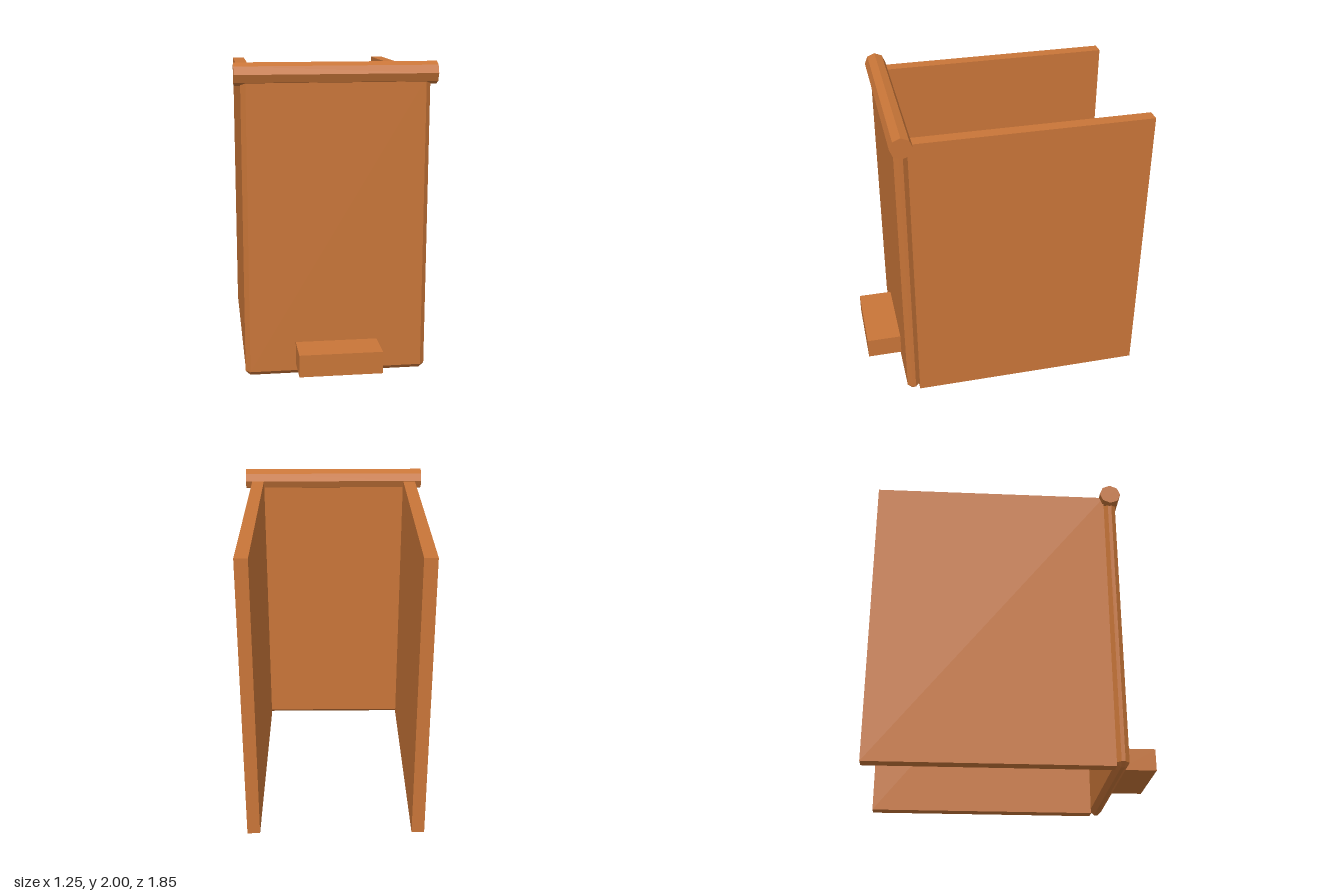
import * as THREE from 'three';
import { ConvexGeometry } from 'three/addons/geometries/ConvexGeometry.js';

// Box with every edge and corner cut off by c
function chamferedBox(w, h, d, c) {
  const points = [];
  for (const x of [-1, 1]) for (const y of [-1, 1]) for (const z of [-1, 1]) {
    for (let flat = 0; flat < 3; flat++) {
      const inset = [c, c, c];
      inset[flat] = 0;
      points.push(new THREE.Vector3(
        x * (w / 2 - inset[0]), y * (h / 2 - inset[1]), z * (d / 2 - inset[2])));
    }
  }
  return new ConvexGeometry(points);
}

export function createModel() {
  const model = new THREE.Group();
  model.name = 'openBox';

  const wood = new THREE.MeshStandardMaterial({ color: 0xc87538 });
  wood.name = 'orange wood';
  wood.flatShading = true;

  function add(name, geometry, x, y, z) {
    const mesh = new THREE.Mesh(geometry, wood);
    mesh.name = name;
    mesh.position.set(x, y, z);
    model.add(mesh);
    return mesh;
  }

  // Front board with chamfered edges
  add('frontPanel', chamferedBox(1.17, 1.93, 0.084, 0.03), 0, 0.965, 0.652);

  // Two plain side boards running back from the front
  for (const side of [-1, 1]) {
    add(side > 0 ? 'leftPanel' : 'rightPanel',
      new THREE.BoxGeometry(0.083, 1.928, 1.537), side * 0.539, 0.964, -0.157);
  }

  // Eight-sided rail along the top of the front board
  const rail = add('topRail', new THREE.CylinderGeometry(0.07, 0.07, 1.25, 8), 0, 1.93, 0.652);
  rail.rotation.z = Math.PI / 2;

  // Block handle low on the front
  add('handle', new THREE.BoxGeometry(0.525, 0.143, 0.245), 0, 0.15, 0.803);

  return model;
}
